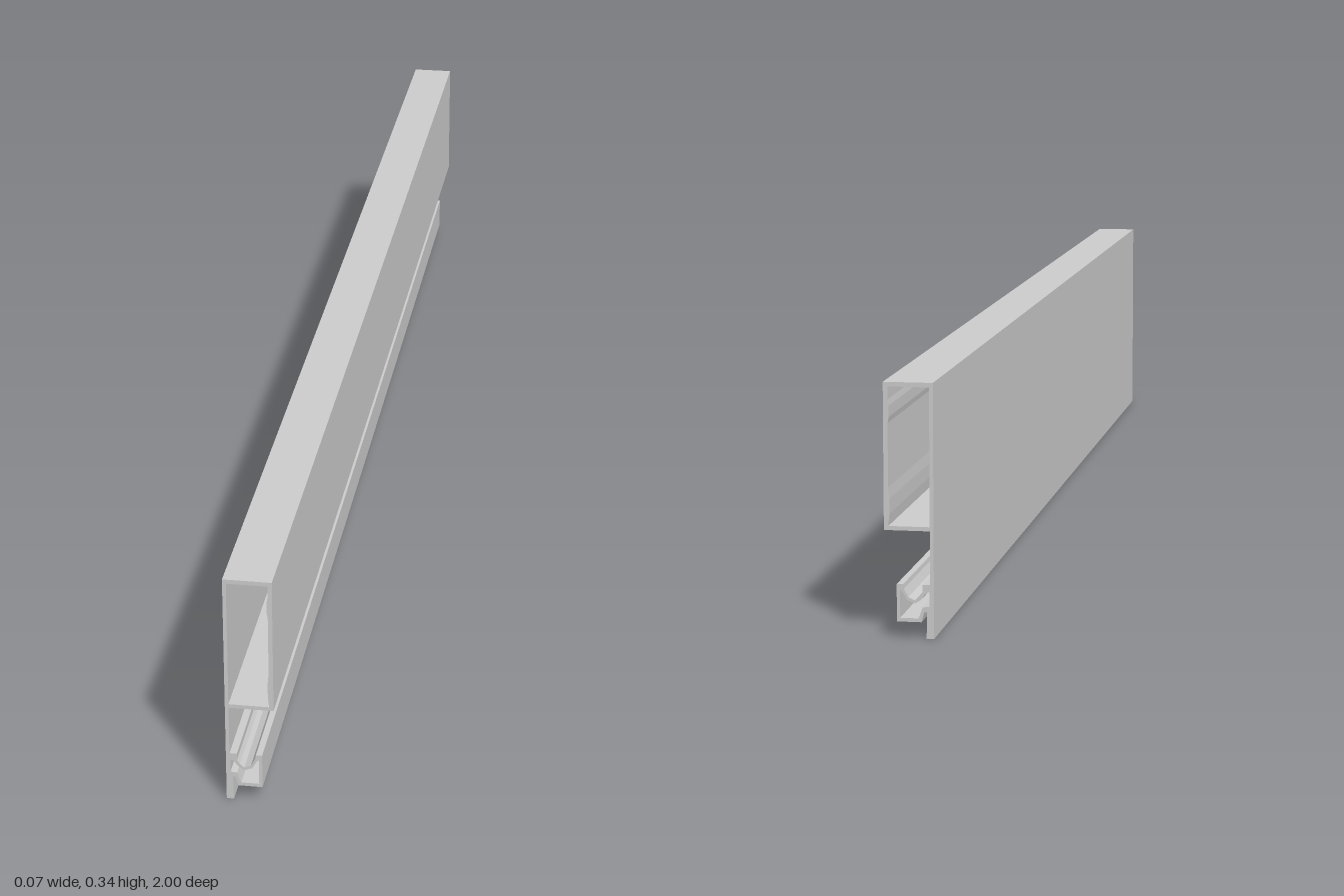
import * as THREE from 'three';

const LENGTH = 2;
const toPoints = (list) => list.map(([x, y]) => new THREE.Vector2(x, y));

export function createModel() {
  const group = new THREE.Group();
  group.name = 'extrudedRail';

  // Outer contour: back web, hollow box on top, clip channel and foot below
  const section = new THREE.Shape(toPoints([
    [-0.033, 0], [-0.023, 0], [-0.024, 0.036], [-0.02, 0.035], [-0.0165, 0.022],
    [0.0165, 0.022], [0.0165, 0.072], [0.008, 0.072], [0.007, 0.066], [0.001, 0.055],
    [-0.008, 0.051], [-0.014, 0.056], [-0.018, 0.062], [-0.018, 0.072], [-0.028, 0.072],
    [-0.028, 0.1435], [0.033, 0.1435], [0.033, 0.339], [-0.033, 0.339],
  ]));

  // Hollow of the box, with two slight ribs on its right wall
  section.holes.push(new THREE.Path(toPoints([
    [-0.028, 0.149], [0.027, 0.149], [0.0255, 0.165], [0.0255, 0.185], [0.027, 0.2],
    [0.027, 0.285], [0.0255, 0.293], [0.0255, 0.308], [0.027, 0.316],
    [0.027, 0.333], [-0.028, 0.333],
  ])));

  // Hollow of the clip channel
  section.holes.push(new THREE.Path(toPoints([
    [-0.027, 0.043], [-0.018, 0.042], [-0.0125, 0.027], [0.012, 0.027], [0.012, 0.064],
    [0.009, 0.062], [0.003, 0.051], [-0.008, 0.047], [-0.016, 0.052],
    [-0.022, 0.06], [-0.027, 0.063],
  ])));

  const geometry = new THREE.ExtrudeGeometry(section, { depth: LENGTH, bevelEnabled: false });
  geometry.translate(0, 0, -LENGTH / 2);

  const rail = new THREE.Mesh(geometry, new THREE.MeshStandardMaterial({ color: 0xcccccc }));
  rail.name = 'railProfile';
  group.add(rail);
  return group;
}
